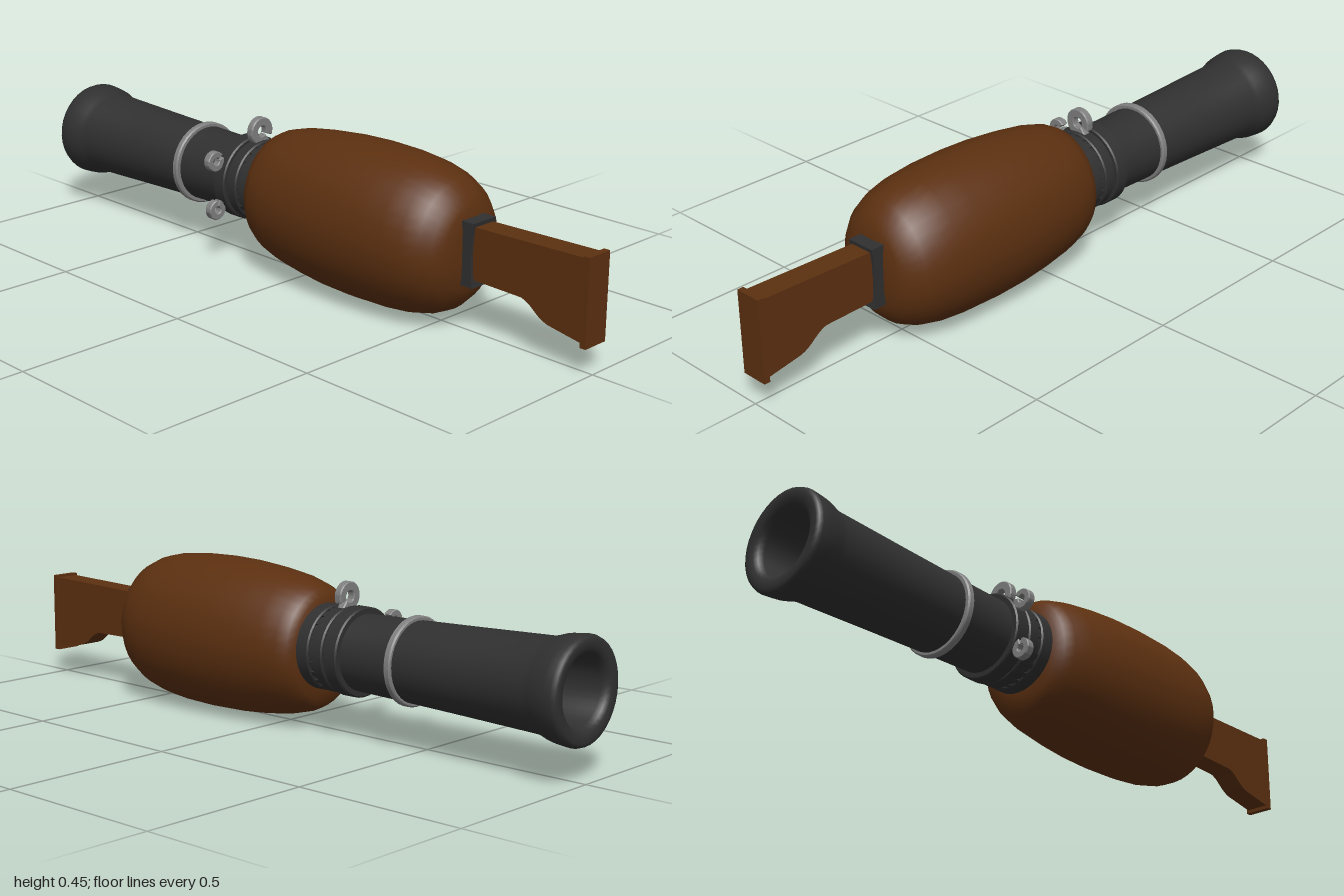
import * as THREE from 'three';
import { toCreasedNormals } from 'three/addons/utils/BufferGeometryUtils.js';

const AXIS_Y = 0.237;

const paint = (name, color) => {
  const m = new THREE.MeshStandardMaterial({ color });
  m.name = name;
  return m;
};

export function createModel() {
  const wood = paint('brown', 0x5c3010);
  const dark = paint('charcoal', 0x303030);
  const steel = paint('grey', 0x808080);
  const model = new THREE.Group();

  const add = (name, geometry, material, x = 0, y = 0, z = 0) => {
    const mesh = new THREE.Mesh(geometry, material);
    mesh.name = name;
    mesh.position.set(x, y, z);
    model.add(mesh);
    return mesh;
  };

  // Turned part along z; profile is [z, radius] with z falling
  const turned = (profile, crease = 0.6) => {
    const points = profile.map(([z, r]) => new THREE.Vector2(r, -z));
    const g = new THREE.LatheGeometry(points, 36).rotateX(-Math.PI / 2);
    return toCreasedNormals(g, crease);
  };

  // Side outline in (z, y) extruded across x
  const slab = (shape, width) => new THREE.ExtrudeGeometry(shape, { depth: width, bevelEnabled: false, curveSegments: 10 })
    .translate(0, 0, -width / 2).rotateY(-Math.PI / 2);

  // Bulging wooden body with an oval section
  const body = turned([
    [0.6, 0], [0.6, 0.075], [0.593, 0.115], [0.575, 0.15], [0.545, 0.178], [0.5, 0.199], [0.44, 0.213],
    [0.36, 0.221], [0.25, 0.224], [0.15, 0.221], [0.06, 0.213], [-0.03, 0.2], [-0.09, 0.184],
    [-0.12, 0.168], [-0.135, 0.148], [-0.14, 0.11], [-0.14, 0]
  ], 1.1);
  body.scale(0.197 / 0.224, 1, 1);
  add('body', body, wood, 0, 0.227, 0);

  // Flared barrel with a rounded lip and an open bore
  add('barrel', turned([
    [-0.13, 0.113], [-0.24, 0.113], [-0.28, 0.107], [-0.45, 0.111], [-0.65, 0.117], [-0.89, 0.125],
    [-0.91, 0.13], [-0.935, 0.138], [-0.96, 0.141], [-0.985, 0.143], [-0.996, 0.139], [-1, 0.13],
    [-0.998, 0.108], [-0.99, 0.097], [-0.975, 0.092], [-0.8, 0.09], [-0.8, 0]
  ], 0.9), dark, 0.003, AXIS_Y);

  // Collars between body and barrel
  for (const [z0, z1, r] of [[-0.13, -0.178, 0.121], [-0.19, -0.228, 0.121], [-0.236, -0.283, 0.125]]) {
    add('collar', turned([[z0, 0.1], [z0, r - 0.004], [z0 - 0.004, r], [z1 + 0.004, r], [z1, r - 0.004], [z1, 0.1]]),
      dark, 0.003, AXIS_Y);
  }

  // Small ribs in the collar gap
  for (let i = 0; i < 24; i++) {
    const a = (i / 24) * Math.PI * 2;
    const rib = add('collarRib', new THREE.BoxGeometry(0.008, 0.014, 0.014), dark,
      0.003 + Math.cos(a) * 0.113, AXIS_Y + Math.sin(a) * 0.113, -0.184);
    rib.rotation.z = a;
  }

  // Steel band around the barrel
  add('barrelBand', turned([
    [-0.445, 0.108], [-0.445, 0.119], [-0.449, 0.123], [-0.463, 0.123], [-0.467, 0.119], [-0.467, 0.108]
  ]), steel, 0.001, AXIS_Y);

  // Open loops for a sling: C-shaped plates standing on the collars
  const clip = (angle, z, size) => {
    const s = new THREE.Shape();
    s.absarc(0, 0, 0.038, -0.35, Math.PI * 1.72, false);
    s.absarc(0, 0, 0.018, Math.PI * 1.72, -0.35, true);
    const g = new THREE.ExtrudeGeometry(s, {
      depth: 0.018, bevelEnabled: true, bevelSize: 0.003, bevelThickness: 0.003, bevelSegments: 1, curveSegments: 20
    });
    g.translate(0, 0, -0.009).scale(size, size, 1);
    const r = 0.148;
    const mesh = add('slingLoop', toCreasedNormals(g, 0.6), steel,
      Math.cos(angle) * r, AXIS_Y + Math.sin(angle) * r, z);
    mesh.rotation.z = angle - Math.PI / 2;
  };
  clip(Math.PI / 2, -0.212, 1);
  clip(Math.PI * 0.84, -0.266, 0.72);
  clip(Math.PI * 1.17, -0.266, 0.72);

  // Dark mount between body and stock, hollowed on its front edge
  const mount = new THREE.Shape();
  mount.moveTo(0.56, 0.14);
  mount.lineTo(0.636, 0.14);
  mount.quadraticCurveTo(0.622, 0.228, 0.636, 0.317);
  mount.lineTo(0.56, 0.317);
  add('stockMount', slab(mount, 0.088), dark, 0.005);

  // Shoulder stock and butt plate
  const stock = new THREE.Shape();
  stock.moveTo(0.6, 0.162);
  stock.lineTo(0.79, 0.158);
  stock.bezierCurveTo(0.83, 0.148, 0.84, 0.112, 0.89, 0.106);
  stock.lineTo(0.985, 0.09);
  stock.lineTo(0.985, 0.314);
  stock.lineTo(0.6, 0.305);
  add('stock', toCreasedNormals(slab(stock, 0.07), 0.5), wood, 0.005);
  add('buttPlate', new THREE.BoxGeometry(0.08, 0.24, 0.018), wood, 0.005, 0.2, 0.991);

  return model;
}
